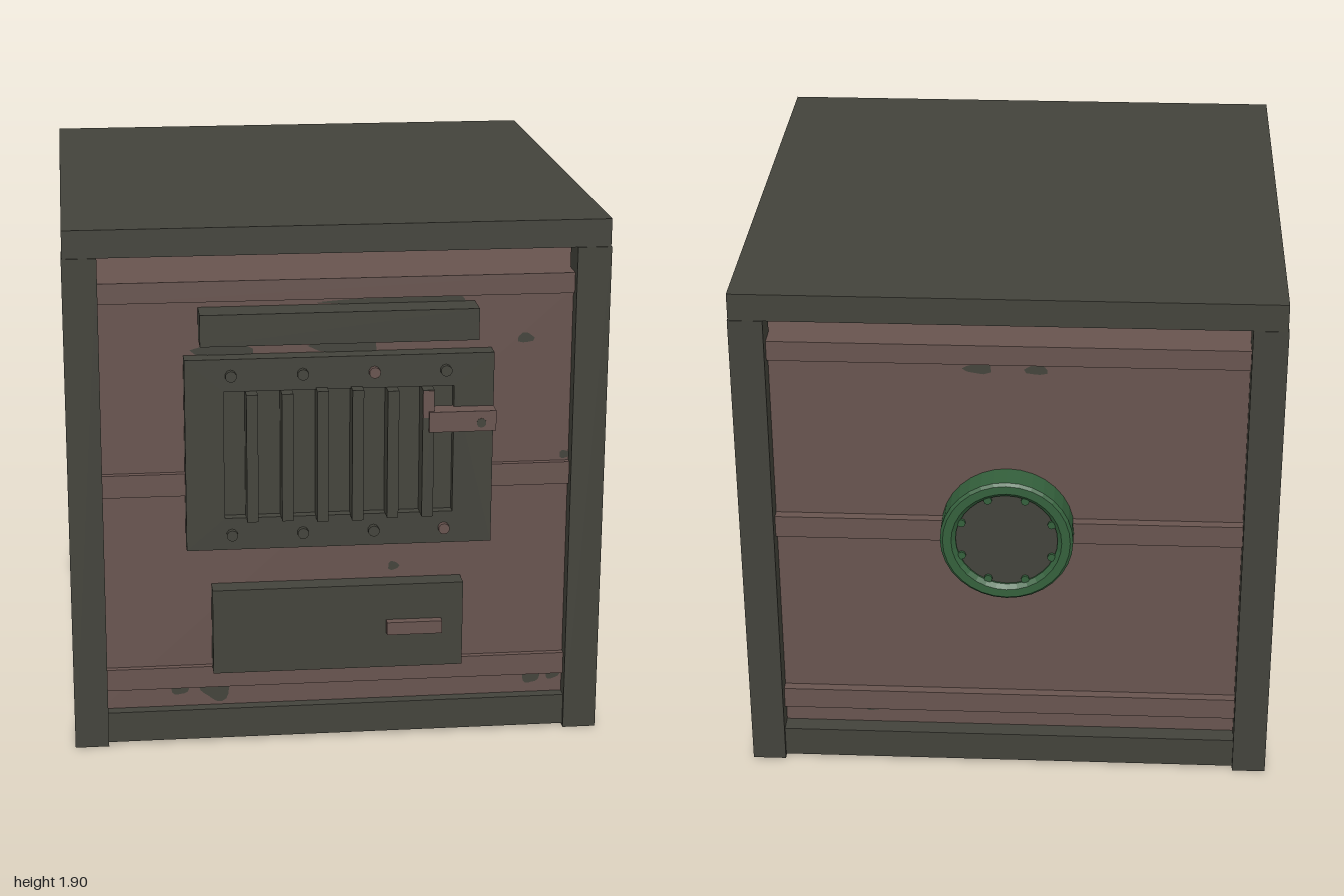
import * as THREE from 'three';

export function createModel() {
  const model = new THREE.Group();
  model.name = 'metalCrate';
  const mat = (name, color) => {
    const m = new THREE.MeshStandardMaterial({ color });
    m.name = name;
    return m;
  };
  const steel = mat('dark steel', 0x43433b);
  const rust = mat('rusty brown', 0x68544f);
  const green = mat('green paint', 0x34603c);

  const add = (name, geometry, material, parent = model) => {
    const mesh = new THREE.Mesh(geometry, material);
    mesh.name = name;
    parent.add(mesh);
    return mesh;
  };
  // Box given by its limits on each axis
  const box = (name, material, [x0, x1], [y0, y1], [z0, z1]) => {
    const mesh = add(name, new THREE.BoxGeometry(x1 - x0, y1 - y0, z1 - z0), material);
    mesh.position.set((x0 + x1) / 2, (y0 + y1) / 2, (z0 + z1) / 2);
    return mesh;
  };
  // Cylinder lying along z
  const disc = (name, material, x, y, z0, z1, r, sides = 10) => {
    const g = new THREE.CylinderGeometry(r, r, z1 - z0, sides).rotateX(Math.PI / 2);
    const mesh = add(name, g, material);
    mesh.position.set(x, y, (z0 + z1) / 2);
    return mesh;
  };

  // Body and the three raised bands running round it
  box('bodyPanels', rust, [-0.88, 0.88], [0.1, 1.695], [-0.89, 0.87]);
  for (const y of [[0.2, 0.28], [0.93, 1.012], [1.63, 1.703]])
    box('bodyBand', rust, [-0.905, 0.905], y, [-0.925, 0.892]);

  // Lid, base and corner posts
  box('lid', steel, [-0.947, 0.943], [1.8, 1.898], [-0.968, 0.922]);
  box('base', steel, [-0.935, 0.93], [0.01, 0.123], [-0.955, 0.912]);
  for (const x of [[-0.95, -0.83], [0.825, 0.945]])
    for (const z of [[-0.97, -0.847], [0.805, 0.926]])
      box('cornerPost', steel, x, [0, 1.8], z);

  // Front hood bar above the vent
  box('ventHood', steel, [-0.487, 0.477], [1.495, 1.607], [0.86, 0.983]);

  // Vent plate with a rectangular opening
  const plate = new THREE.Shape();
  plate.moveTo(-0.54, 0.74).lineTo(0.54, 0.74).lineTo(0.54, 1.436).lineTo(-0.54, 1.436).closePath();
  const opening = new THREE.Path();
  opening.moveTo(-0.405, 0.857).lineTo(-0.405, 1.32).lineTo(0.4, 1.32).lineTo(0.4, 0.857).closePath();
  plate.holes.push(opening);
  add('ventPlate', new THREE.ExtrudeGeometry(plate, { depth: 0.075, bevelEnabled: false }), steel)
    .position.z = 0.86;
  box('ventBack', steel, [-0.42, 0.42], [0.84, 1.34], [0.86, 0.9]);
  for (let i = 0; i < 6; i++) {
    const x = -0.31 + i * 0.1228;
    const grow = i === 2 || i === 3 ? 0.006 : 0;
    box('ventBar', steel, [x - 0.02, x + 0.02], [0.857 - grow, 1.32 + grow], [0.89, 0.985]);
  }
  box('barRust', rust, [0.285, 0.323], [1.22, 1.318], [0.98, 0.988]);
  for (let i = 0; i < 4; i++)
    for (const y of [0.797, 1.378]) {
      const rusty = (i === 2 && y > 1) || (i === 3 && y < 1);
      disc('ventBolt', rusty ? rust : steel, -0.38 + i * 0.25, y, 0.92, 0.955, 0.02);
    }

  // Vent latch
  box('ventLatch', rust, [0.305, 0.54], [1.17, 1.243], [0.92, 0.998]);
  disc('latchBolt', steel, 0.488, 1.2, 0.99, 1.0, 0.017);

  // Drawer and its pull
  box('drawer', steel, [-0.452, 0.443], [0.275, 0.59], [0.86, 0.945]);
  box('drawerPull', rust, [0.167, 0.365], [0.41, 0.457], [0.93, 0.977]);

  // Round port on the back: ring, sunken cover, studs
  const ringProfile = [[0.18, 0], [0.235, 0], [0.235, 0.105], [0.225, 0.115], [0.195, 0.115], [0.18, 0.1], [0.18, 0]];
  const ring = new THREE.LatheGeometry(ringProfile.map(([r, y]) => new THREE.Vector2(r, y)), 32)
    .rotateX(-Math.PI / 2).toNonIndexed();
  ring.computeVertexNormals();
  add('portRing', ring, green).position.set(0, 0.973, -0.885);
  disc('portCover', steel, 0, 0.973, -0.978, -0.88, 0.19, 32);
  for (let i = 0; i < 8; i++) {
    const a = (i + 0.5) * Math.PI / 4;
    disc('portStud', green, 0.172 * Math.cos(a), 0.973 + 0.172 * Math.sin(a), -0.988, -0.97, 0.015, 8);
  }

  // Worn patches: irregular thin blobs; hang = lower half only
  const patch = (rx, ry, hang) => {
    const s = new THREE.Shape();
    const start = hang ? Math.PI : 0, span = hang ? Math.PI : Math.PI * 2;
    for (let i = 0; i <= 10; i++) {
      const a = start + span * i / 10;
      const k = 1 + 0.15 * Math.sin(a * 3 + rx * 90);
      const x = rx * k * Math.cos(a), y = ry * k * Math.sin(a);
      if (i === 0) s.moveTo(x, y); else s.lineTo(x, y);
    }
    return new THREE.ShapeGeometry(s);
  };
  // x, y, half width, half height, hanging
  const frontPatches = [[0.66, 1.468, 0.03, 0.018], [0.2, 0.635, 0.02, 0.017], [-0.57, 0.2, 0.03, 0.035, true],
    [-0.44, 0.2, 0.055, 0.06, true], [0.71, 0.2, 0.03, 0.045, true], [0.79, 0.2, 0.025, 0.03, true],
    [0.03, 1.46, 0.12, 0.035], [-0.4, 1.455, 0.11, 0.025], [0.22, 1.615, 0.26, 0.014], [0.81, 1.035, 0.02, 0.015]];
  for (const [x, y, rx, ry, hang] of frontPatches)
    add('frontWear', patch(rx, ry, hang), steel).position.set(x, y, 0.874);
  const backPatches = [[0.1, 1.6, 0.05, 0.02], [-0.1, 1.6, 0.04, 0.02], [0.5, 0.2, 0.03, 0.03, true], [-0.45, 0.2, 0.03, 0.02, true]];
  for (const [x, y, rx, ry, hang] of backPatches) {
    const m = add('backWear', patch(rx, ry, hang), steel);
    m.position.set(x, y, -0.894);
    m.rotation.y = Math.PI;
  }
  const sidePatches = [[-0.69, 1.46, 0.022, 0.018], [0.735, 1.556, 0.013, 0.012], [-0.76, 0.2, 0.08, 0.03, true],
    [-0.775, 1.025, 0.03, 0.01]];
  for (const side of [1, -1])
    for (const [z, y, rx, ry, hang] of sidePatches) {
      const m = add('sideWear', patch(rx, ry, hang), steel);
      m.position.set(side * 0.884, y, z);
      m.rotation.y = side * Math.PI / 2;
    }
  return model;
}
